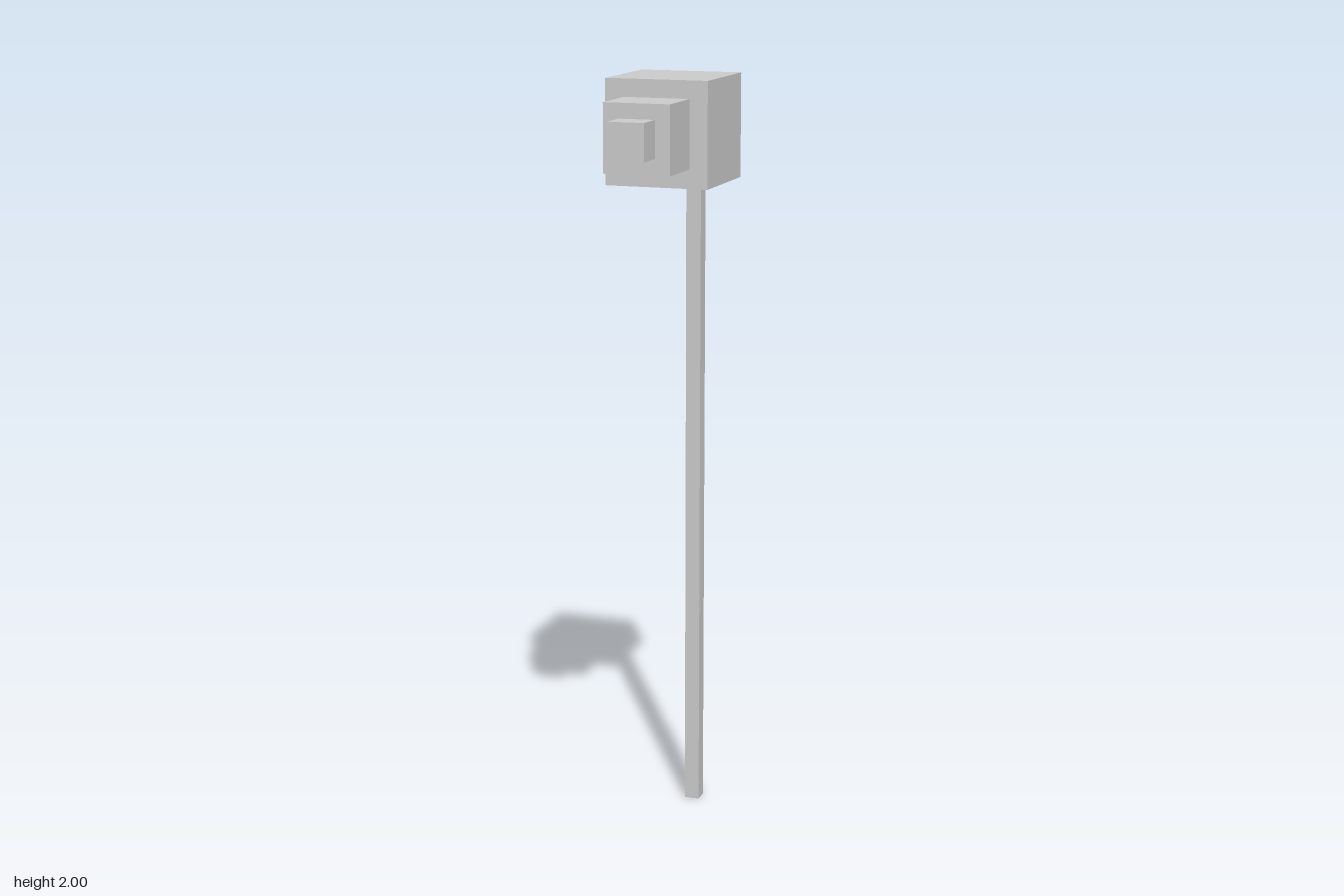
import * as THREE from 'three';

export function createModel() {
  const model = new THREE.Group();
  const material = new THREE.MeshStandardMaterial({ color: 0xcccccc, flatShading: true });

  // Box given by its size and centre, with a slight turn about the vertical.
  function addBox(name, size, centre, turn = 0) {
    const mesh = new THREE.Mesh(new THREE.BoxGeometry(...size), material);
    mesh.name = name;
    mesh.position.set(...centre);
    mesh.rotation.y = turn;
    model.add(mesh);
  }

  const turn = -0.009;

  // Stepped head: three blocks shrinking towards the front
  addBox('headBlock', [0.267, 0.265, 0.267], [-0.0005, 1.8675, -0.076], turn);
  addBox('middleBlock', [0.171, 0.172, 0.145], [-0.001, 1.869, 0.1305], turn);
  addBox('frontBlock', [0.093, 0.093, 0.077], [-0.001, 1.8705, 0.2415], turn);

  // Slim square post standing just behind the head
  addBox('post', [0.04, 1.89, 0.039], [-0.003, 0.945, -0.2615]);

  return model;
}
